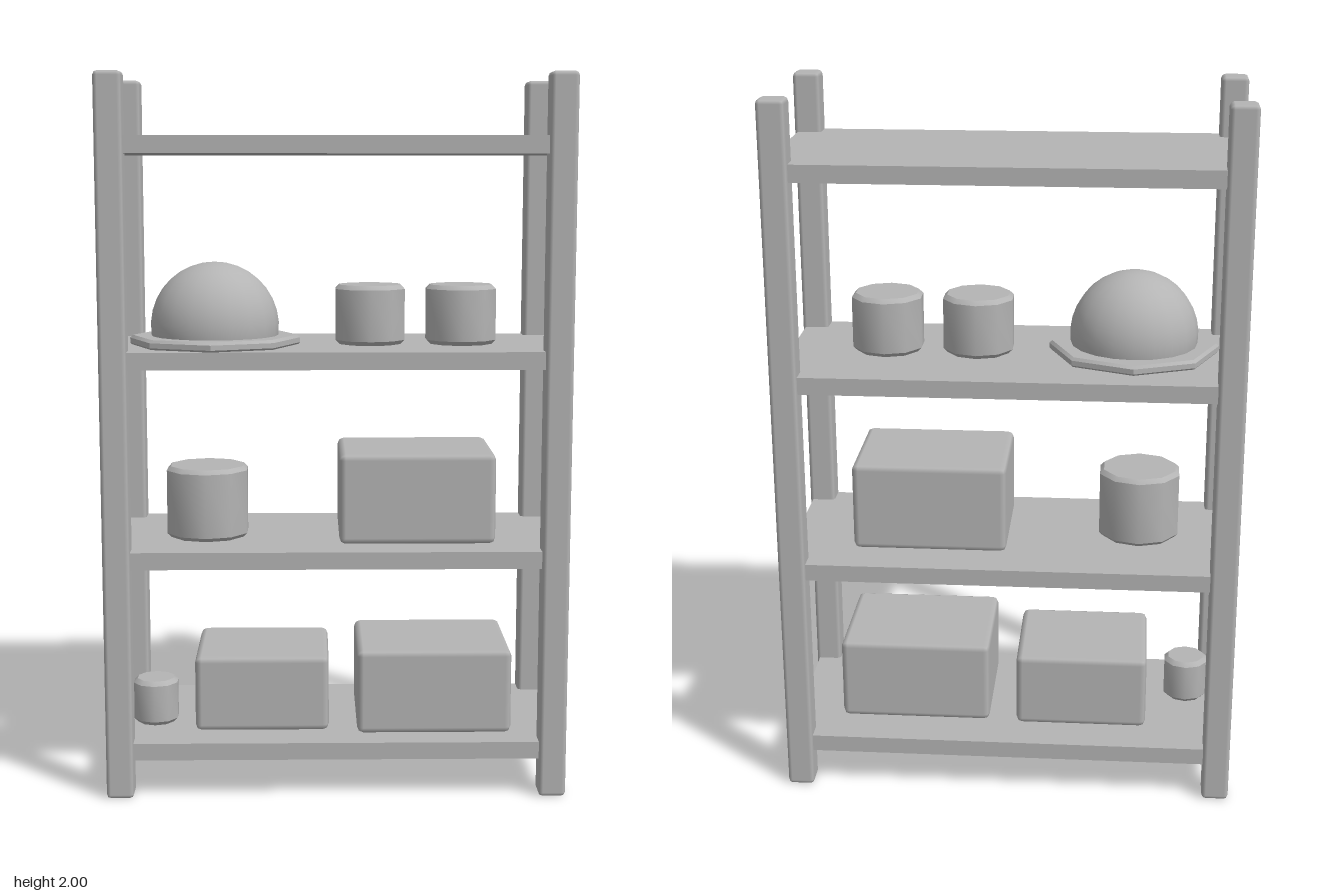
import * as THREE from 'three';
import { toCreasedNormals } from 'three/addons/utils/BufferGeometryUtils.js';
import { RoundedBoxGeometry } from 'three/addons/geometries/RoundedBoxGeometry.js';

export function createModel() {
  const model = new THREE.Group();
  model.name = 'storageRack';
  const grey = new THREE.MeshStandardMaterial({ color: 0xb4b4b4 });
  grey.name = 'plain grey';

  const add = (name, geometry, x, y, z, parent = model) => {
    const mesh = new THREE.Mesh(geometry, grey);
    mesh.name = name;
    mesh.position.set(x, y, z);
    parent.add(mesh);
    return mesh;
  };

  // Low-sided drum with bevelled rims, standing on its own origin
  const drum = (r, h, sides, bevel) => {
    const profile = [
      [0, 0], [r - bevel, 0], [r, bevel], [r, h - bevel], [r - bevel, h], [0, h],
    ].map(([px, py]) => new THREE.Vector2(px, py));
    return toCreasedNormals(new THREE.LatheGeometry(profile, sides), 0.7);
  };

  // Four corner posts
  for (const sx of [-1, 1]) {
    for (const sz of [-1, 1]) {
      const name = (sz > 0 ? 'front' : 'back') + (sx > 0 ? 'Left' : 'Right') + 'Post';
      add(name, new RoundedBoxGeometry(0.076, 2, 0.076, 1, 0.012), sx * 0.605, 1, sz * 0.252);
    }
  }

  // Four shelf boards
  [0.133, 0.677, 1.229, 1.808].forEach((y, i) =>
    add('shelf' + (i + 1), new THREE.BoxGeometry(1.268, 0.048, 0.556), 0, y, 0));

  // Storage boxes: x min, x max, y min, y max, z min, z max
  [
    [-0.40, -0.02, 0.157, 0.375, -0.165, 0.175],
    [0.06, 0.497, 0.157, 0.40, -0.155, 0.205],
    [0.01, 0.449, 0.70, 0.957, -0.155, 0.18],
  ].forEach(([x0, x1, y0, y1, z0, z1], i) =>
    add('storageBox' + (i + 1), new RoundedBoxGeometry(x1 - x0, y1 - y0, z1 - z0, 1, 0.018),
      (x0 + x1) / 2, (y0 + y1) / 2, (z0 + z1) / 2));

  // Cans: x, base y, z, radius, height
  [
    [-0.52, 0.157, 0.062, 0.066, 0.13],
    [-0.366, 0.70, 0.03, 0.12, 0.206],
    [0.099, 1.253, 0.018, 0.1025, 0.168],
    [0.357, 1.253, 0.018, 0.1025, 0.168],
  ].forEach(([x, y, z, r, h], i) => add('can' + (i + 1), drum(r, h, 10, 0.012), x, y, z));

  // Hard hat: domed shell on an eight-sided brim
  const hat = new THREE.Group();
  hat.name = 'hardHat';
  hat.position.set(-0.34, 1.25, 0.04);
  add('hatBrim', drum(0.24, 0.03, 8, 0.008), 0, 0, 0, hat);
  add('hatDome', new THREE.SphereGeometry(0.181, 20, 10, 0, Math.PI * 2, 0, Math.PI * 0.6),
    0, 0.055, 0, hat);
  model.add(hat);

  return model;
}
